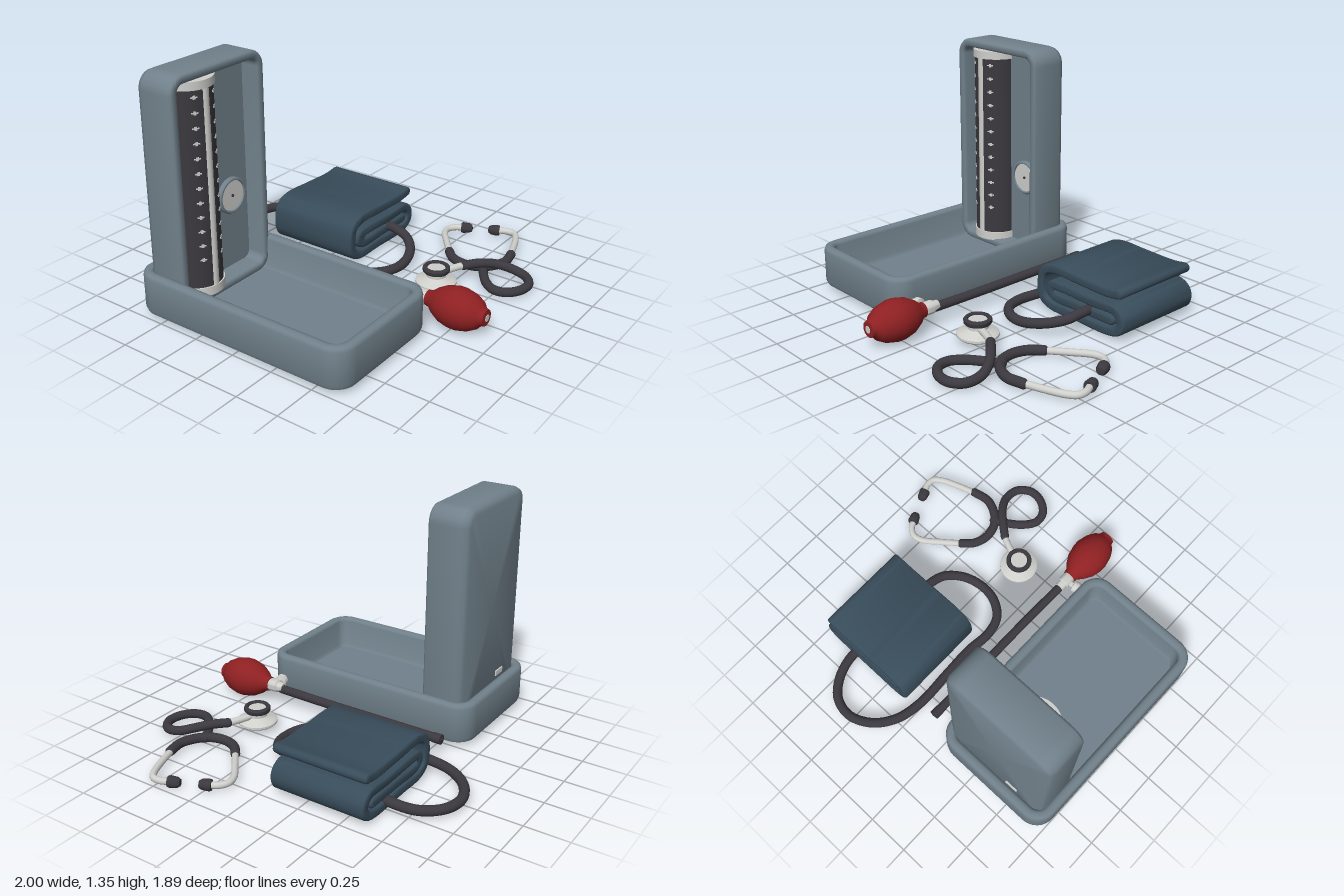
import * as THREE from 'three';
import { toCreasedNormals } from 'three/addons/utils/BufferGeometryUtils.js';

const mat = (name, color) => {
  const m = new THREE.MeshStandardMaterial({ color });
  m.name = name;
  return m;
};

export function createModel() {
  const model = new THREE.Group();
  model.name = 'bloodPressureKit';
  const caseGrey = mat('case grey', 0x71818b);
  const rubber = mat('dark rubber', 0x3b393f);
  const cloth = mat('cuff blue', 0x384c5a);
  const red = mat('bulb red', 0x8e2022);
  const metal = mat('pale metal', 0xcfcfcc);

  const add = (name, geo, material, pos = [0, 0, 0], parent = model) => {
    const m = new THREE.Mesh(geo, material);
    m.name = name;
    m.position.set(...pos);
    parent.add(m);
    return m;
  };
  const vec = p => new THREE.Vector3(...p);
  const lathe = (pts, n = 32) =>
    toCreasedNormals(new THREE.LatheGeometry(pts.map(p => new THREE.Vector2(...p)), n), 0.7);

  // Open box lofted from rounded rectangles; each row is [inset, height]
  const openBox = (w, l, R, rows) => {
    const pos = [], idx = [], steps = 8, n = 4 * (steps + 1);
    for (const [inset, y] of rows) {
      const r = Math.max(0.02, R - inset);
      for (let c = 0; c < 4; c++) for (let s = 0; s <= steps; s++) {
        const a = (c + s / steps) * Math.PI / 2;
        const sx = c === 0 || c === 3 ? 1 : -1, sz = c < 2 ? 1 : -1;
        pos.push(sx * (w / 2 - inset - r) + r * Math.cos(a), y, sz * (l / 2 - inset - r) + r * Math.sin(a));
      }
    }
    const last = rows.length - 1, bottom = rows.length * n;
    pos.push(0, rows[0][1], 0, 0, rows[last][1], 0);
    for (let j = 0; j < n; j++) {
      const k = (j + 1) % n;
      for (let i = 0; i < last; i++) {
        const a = i * n + j, b = i * n + k;
        idx.push(a, a + n, b, b, a + n, b + n);
      }
      idx.push(bottom, j, k, bottom + 1, last * n + k, last * n + j);
    }
    const g = new THREE.BufferGeometry();
    g.setAttribute('position', new THREE.Float32BufferAttribute(pos, 3));
    g.setIndex(idx);
    return toCreasedNormals(g, 0.8);
  };

  // Round hose through points, with rounded ends
  const hose = (name, pts, r, material, parent = model) => {
    const path = new THREE.CatmullRomCurve3(pts.map(vec));
    const g = new THREE.Group();
    g.name = name;
    parent.add(g);
    add(name + 'Tube', new THREE.TubeGeometry(path, pts.length * 10, r, 14), material, [0, 0, 0], g);
    for (const p of [pts[0], pts[pts.length - 1]])
      add(name + 'End', new THREE.SphereGeometry(r, 14, 10), material, p, g);
  };

  // Case: tray and upright lid
  add('tray', openBox(0.775, 1.355, 0.12, [[0.035, 0.025], [0.01, 0.035], [0, 0.06], [0, 0.24],
    [0.006, 0.258], [0.02, 0.265], [0.042, 0.265], [0.055, 0.258], [0.06, 0.245], [0.06, 0.09],
    [0.075, 0.07]]), caseGrey, [-0.6125, 0, 0]);
  const lidGeo = openBox(0.68, 1.28, 0.095, [[0.04, 0], [0.012, 0.012], [0, 0.04], [0, 0.225],
    [0.006, 0.236], [0.015, 0.24], [0.036, 0.24], [0.046, 0.234], [0.05, 0.222], [0.052, 0.13]]);
  add('lid', lidGeo.rotateX(Math.PI / 2), caseGrey, [-0.605, 0.715, -0.61]);
  add('hinge', new THREE.BoxGeometry(0.08, 0.03, 0.02), metal, [-0.73, 0.285, -0.608]);

  // Mercury column in the lid
  const column = new THREE.Group();
  column.name = 'mercuryColumn';
  column.position.set(-0.72, 0, -0.485);
  model.add(column);
  const half = (r, h) => new THREE.CylinderGeometry(r, r, h, 32, 1, false, -Math.PI / 2, Math.PI);
  add('scaleBody', half(0.133, 1.11), rubber, [0, 0.705, 0], column);
  add('topCap', half(0.141, 0.045), metal, [0, 1.281, 0], column);
  add('bottomCap', half(0.141, 0.05), metal, [0, 0.142, 0], column);
  add('glassTube', new THREE.CylinderGeometry(0.03, 0.03, 1.1, 16), metal, [0, 0.71, 0.11], column);
  for (let i = 0; i < 12; i++) for (const s of [-1, 1]) {
    const a = s * 0.54, y = 0.33 + i * 0.081;
    for (const [w, h] of [[0.036, 0.007], [0.014, 0.02]])
      add('scaleMark', new THREE.BoxGeometry(w, h, 0.005), metal,
        [0.133 * Math.sin(a), y, 0.133 * Math.cos(a)], column).rotation.y = a;
  }

  // Round dial on the lid panel
  const dial = new THREE.Group();
  dial.name = 'dial';
  dial.position.set(-0.45, 0.55, -0.482);
  dial.rotation.x = Math.PI / 2;
  model.add(dial);
  add('dialRing', lathe([[0.103, 0], [0.103, 0.02], [0.097, 0.027], [0.088, 0.027], [0.084, 0.01]], 40),
    caseGrey, [0, 0, 0], dial);
  add('dialFace', new THREE.CylinderGeometry(0.086, 0.086, 0.016, 40), metal, [0, 0.01, 0], dial);
  add('dialPin', new THREE.CylinderGeometry(0.008, 0.008, 0.006, 12), rubber, [0, 0.021, 0], dial);

  // Squeeze bulb, valve and air hose
  const pump = new THREE.Group();
  pump.name = 'pump';
  pump.position.set(-0.115, 0.12, 0);
  model.add(pump);
  const bulbProfile = [[0, 0.585], [0.042, 0.585], [0.046, 0.61], [0.072, 0.64], [0.1, 0.69], [0.114, 0.75],
    [0.114, 0.79], [0.1, 0.85], [0.075, 0.895], [0.05, 0.915], [0.045, 0.937], [0.02, 0.94], [0, 0.935]];
  add('bulb', lathe(bulbProfile, 24), red, [0, 0, 0], pump).rotation.x = Math.PI / 2;
  add('bulbInlet', new THREE.CylinderGeometry(0.02, 0.02, 0.008, 16), metal, [0, 0, 0.938], pump).rotation.x = Math.PI / 2;
  add('valve', lathe([[0, 0.49], [0.027, 0.49], [0.03, 0.525], [0.038, 0.53], [0.038, 0.58], [0.03, 0.6], [0, 0.6]], 24),
    metal, [0, 0, 0], pump).rotation.x = Math.PI / 2;
  add('valveScrew', lathe([[0, 0], [0.018, 0], [0.018, 0.055], [0.036, 0.06], [0.036, 0.09], [0.022, 0.1], [0.022, 0.115], [0, 0.118]], 20),
    metal, [0, 0, 0.55], pump).rotation.set(0, 0.15, Math.PI / 2);
  hose('airHose', [[0, -0.01, 0.5], [0.006, -0.01, 0.2], [0.006, -0.01, -0.2], [0.006, -0.01, -0.57]], 0.026, rubber, pump);
  add('hoseFitting', new THREE.CylinderGeometry(0.029, 0.029, 0.05, 16), rubber, [0.006, -0.01, -0.565], pump).rotation.x = Math.PI / 2;

  // Folded cuff: a strip of even thickness following a fold line, extruded in depth
  const fold = new THREE.CatmullRomCurve3([[0.68, 0.268], [0.6, 0.258], [0.4, 0.262], [0.2, 0.265],
    [0.13, 0.235], [0.108, 0.16], [0.12, 0.08], [0.18, 0.046], [0.35, 0.044], [0.64, 0.046], [0.695, 0.075],
    [0.7, 0.13], [0.66, 0.168], [0.5, 0.168], [0.24, 0.174], [0.19, 0.165], [0.182, 0.13], [0.22, 0.106],
    [0.4, 0.107], [0.63, 0.107]].map(p => vec([...p, 0])));
  const t = 0.027, left = [], right = [];
  for (let i = 0; i <= 110; i++) {
    const p = fold.getPoint(i / 110), d = fold.getTangent(i / 110);
    left.push(new THREE.Vector2(p.x - d.y * t, p.y + d.x * t));
    right.push(new THREE.Vector2(p.x + d.y * t, p.y - d.x * t));
  }
  const endCap = (u, sign) => {
    const p = fold.getPoint(u), d = fold.getTangent(u);
    return [1, 2, 3, 4].map(k => {
      const a = k * Math.PI / 5, c = Math.cos(a) * t * sign, s = Math.sin(a) * t * sign;
      return new THREE.Vector2(p.x - d.y * c + d.x * s, p.y + d.x * c + d.y * s);
    });
  };
  const strip = new THREE.Shape([...left, ...endCap(1, 1), ...right.reverse(), ...endCap(0, -1)]);
  add('cuff', toCreasedNormals(new THREE.ExtrudeGeometry(strip, {
    depth: 0.54, bevelEnabled: true, bevelThickness: 0.014, bevelSize: 0.012, bevelOffset: -0.012, bevelSegments: 3,
  }), 0.8), cloth, [0.0, 0, -0.615]);

  // Hose looping around from the back to the front of the cuff
  hose('cuffHose', [[0.5, 0.07, -0.56], [0.51, 0.06, -0.66], [0.475, 0.045, -0.79], [0.39, 0.045, -0.89], [0.27, 0.045, -0.918],
    [0.14, 0.045, -0.86], [0.05, 0.045, -0.74], [0.015, 0.045, -0.58], [0.022, 0.045, -0.35], [0.028, 0.045, -0.15],
    [0.015, 0.045, 0], [0.045, 0.045, 0.11], [0.13, 0.045, 0.18], [0.235, 0.05, 0.2], [0.36, 0.07, 0.165],
    [0.45, 0.095, 0.08], [0.475, 0.115, -0.02], [0.475, 0.115, -0.12]], 0.028, rubber);

  // Stethoscope
  const scope = new THREE.Group();
  scope.name = 'stethoscope';
  model.add(scope);
  const chest = [0.18, 0, 0.455];
  add('chestPiece', lathe([[0, 0.032], [0.106, 0.032], [0.114, 0.04], [0.114, 0.052], [0.1, 0.062], [0.07, 0.068],
    [0.055, 0.08], [0.055, 0.108], [0, 0.108]]), metal, chest, scope);
  add('bellRing', lathe([[0.05, 0.105], [0.07, 0.105], [0.076, 0.113], [0.076, 0.13], [0.07, 0.137], [0.055, 0.137],
    [0.05, 0.128], [0.05, 0.105]]), rubber, chest, scope);
  add('bellDisc', new THREE.CylinderGeometry(0.051, 0.051, 0.02, 32), metal, [0.18, 0.117, 0.455], scope);
  hose('chestStem', [[0.21, 0.085, 0.465], [0.29, 0.085, 0.492], [0.35, 0.085, 0.52], [0.39, 0.085, 0.55]], 0.02, metal, scope);
  hose('mainTube', [[0.36, 0.085, 0.525], [0.43, 0.088, 0.585], [0.5, 0.075, 0.655], [0.542, 0.05, 0.74], [0.53, 0.036, 0.83],
    [0.46, 0.034, 0.883], [0.375, 0.034, 0.875], [0.308, 0.034, 0.82], [0.298, 0.034, 0.75], [0.345, 0.034, 0.68],
    [0.43, 0.034, 0.615], [0.5, 0.036, 0.575]], 0.026, rubber, scope);
  hose('yokeTube', [[0.54, 0.036, 0.325], [0.485, 0.036, 0.38], [0.458, 0.036, 0.46], [0.475, 0.036, 0.55],
    [0.535, 0.036, 0.615], [0.62, 0.036, 0.65], [0.72, 0.036, 0.635]], 0.027, rubber, scope);
  hose('upperEarPipe', [[0.54, 0.036, 0.325], [0.64, 0.036, 0.245], [0.74, 0.036, 0.172], [0.795, 0.036, 0.162],
    [0.84, 0.036, 0.188], [0.862, 0.036, 0.225]], 0.019, metal, scope);
  hose('lowerEarPipe', [[0.71, 0.036, 0.635], [0.82, 0.036, 0.6], [0.93, 0.036, 0.555], [0.972, 0.036, 0.52],
    [0.976, 0.036, 0.47], [0.957, 0.036, 0.425]], 0.019, metal, scope);
  const tipGeo = lathe([[0, 0], [0.03, 0], [0.033, 0.012], [0.029, 0.05], [0.02, 0.066], [0, 0.07]], 20);
  for (const [x, z, dx, dz] of [[0.86, 0.218, 0.42, 0.9], [0.957, 0.43, -0.35, -0.93]])
    add('earTip', tipGeo, rubber, [x, 0.036, z], scope).quaternion
      .setFromUnitVectors(vec([0, 1, 0]), vec([dx, 0, dz]).normalize());

  return model;
}
